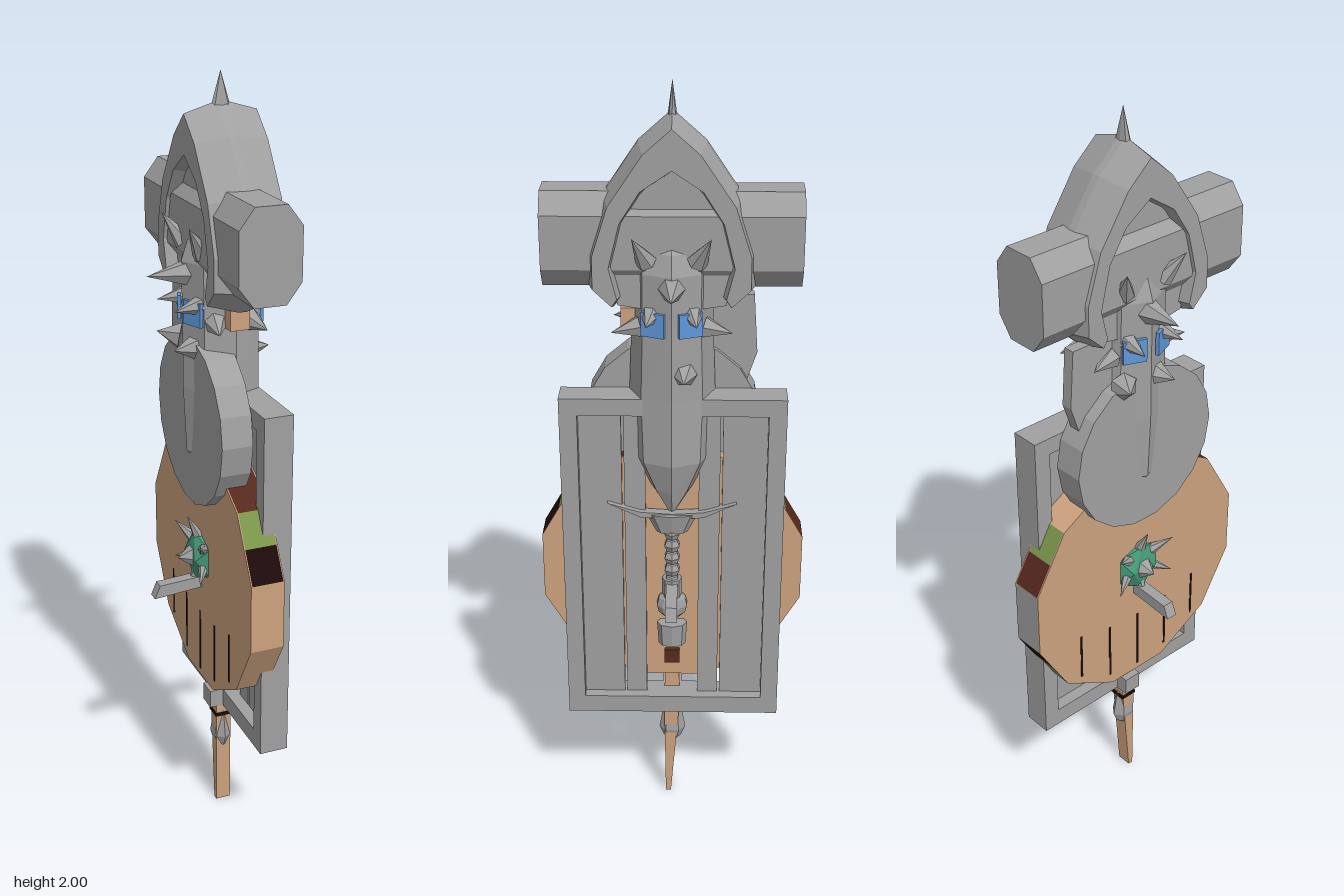
import * as THREE from 'three';

const mat = (name, color) => {
  const m = new THREE.MeshStandardMaterial({ color, flatShading: true });
  m.name = name;
  return m;
};

export function createModel() {
  const root = new THREE.Group();
  const steel = mat('steel', 0xa0a0a0), wood = mat('wood', 0xcda27e), red = mat('red brown', 0x55291c),
    black = mat('near black', 0x1e0b0b), green = mat('green', 0x7b964a), blue = mat('blue', 0x5f98dc),
    teal = mat('teal', 0x459a78);

  const add = (name, geo, m, x = 0, y = 0, z = 0, parent = root) => {
    const mesh = new THREE.Mesh(geo, m);
    mesh.name = name;
    mesh.position.set(x, y, z);
    parent.add(mesh);
    return mesh;
  };
  // box given by its min and max on each axis
  const box = (name, m, x0, x1, y0, y1, z0, z1) =>
    add(name, new THREE.BoxGeometry(x1 - x0, y1 - y0, z1 - z0), m, (x0 + x1) / 2, (y0 + y1) / 2, (z0 + z1) / 2);
  // outline in (z, y), extruded along x from x0 to x1
  const slab = (pts, x0, x1, hole) => {
    const s = new THREE.Shape(pts.map(p => new THREE.Vector2(...p)));
    if (hole) s.holes.push(new THREE.Path(hole.map(p => new THREE.Vector2(...p))));
    return new THREE.ExtrudeGeometry(s, { depth: x1 - x0, bevelEnabled: false }).rotateY(-Math.PI / 2).translate(x1, 0, 0);
  };
  const rect = (z0, z1, y0, y1) => [[z0, y0], [z1, y0], [z1, y1], [z0, y1]];
  const up = new THREE.Vector3(0, 1, 0);
  const spike = (name, p, dir, len, r, m = steel) => {
    const d = new THREE.Vector3(...dir).normalize();
    const c = add(name, new THREE.ConeGeometry(r, len, 6).translate(0, len / 2, 0), m, ...p);
    c.quaternion.setFromUnitVectors(up, d);
    return c;
  };
  const mirror = half => [...half, ...half.filter(p => p[0] > 0).reverse().map(([z, y]) => [-z, y])];

  // hammer head: long octagonal bar along z
  const oct = [[-0.045, 1.52], [0.035, 1.52], [0.073, 1.57], [0.073, 1.7], [0.035, 1.75], [-0.045, 1.75], [-0.083, 1.7], [-0.083, 1.57]];
  add('hammerHead', new THREE.ExtrudeGeometry(new THREE.Shape(oct.map(p => new THREE.Vector2(...p))),
    { depth: 0.62, bevelEnabled: false }), steel, 0, 0, -0.31);

  // arched collar around the hammer, ridged along its middle
  const outer = [[0.14, 1.46], [0.205, 1.52], [0.205, 1.61], [0.165, 1.735], [0.08, 1.86], [0, 1.93]];
  const inner = [[0, 1.79], [0.06, 1.75], [0.105, 1.68], [0.13, 1.58], [0.11, 1.5]];
  const flip = a => a.filter(p => p[0] > 0).map(([z, y]) => [-z, y]).reverse();
  const archPts = [...outer, ...flip(outer), ...flip(inner), ...inner];
  const arch = new THREE.ExtrudeGeometry(new THREE.Shape(archPts.map(p => new THREE.Vector2(...p))),
    { depth: 0.02, bevelThickness: 0.082, bevelSize: 0.018, bevelOffset: -0.018, bevelSegments: 1 });
  add('archCollar', arch.translate(0, 0, -0.01).rotateY(-Math.PI / 2), steel);
  add('archCore', slab(mirror([[0, 1.46], [0.13, 1.48], [0.15, 1.6], [0.11, 1.71], [0, 1.83]]), -0.062, 0.062), steel);
  add('topSpike', new THREE.ConeGeometry(0.03, 0.1, 8), steel, 0, 1.95, 0).scale.z = 0.45;

  // spiked club: eight-sided loft of [y, half depth z, half width x, centre x]
  const rings = [[0.93, 0.012, 0.03, 0.045], [0.99, 0.055, 0.06, 0.03], [1.07, 0.1, 0.1, 0.008], [1.24, 0.107, 0.1, 0],
    [1.42, 0.1, 0.1, 0], [1.56, 0.1, 0.102, 0], [1.61, 0.085, 0.085, 0], [1.64, 0.045, 0.05, 0]];
  const club = new THREE.CylinderGeometry(1, 1, 1, 8, rings.length - 1);
  const cp = club.attributes.position;
  for (let i = 0; i < cp.count; i++) {
    const k = Math.round((cp.getY(i) + 0.5) * (rings.length - 1));
    const [y, rz, rx, cx] = rings[k];
    cp.setXYZ(i, cp.getX(i) * rx + cx, y, cp.getZ(i) * rz);
  }
  add('spikedClub', club, steel);
  for (const s of [-1, 1]) {
    spike('sideSpike', [s * 0.08, 1.53, 0], [s, 0, 0], 0.11, 0.035);
    for (const t of [-1, 1]) {
      spike('upperSpike', [s * 0.07, 1.59, t * 0.06], [s * 0.5, 0.75, t * 0.35], 0.09, 0.026);
      spike('lowerSpike', [s * 0.075, 1.46, t * 0.05], [s, -0.1, t * 0.15], 0.07, 0.024);
      spike('edgeSpike', [s * 0.045, 1.42, t * 0.08], [s * 0.25, -0.15, t], 0.07, 0.028);
      // blue inlays and wooden wedges beside the spikes
      const inlay = add('blueInlay', new THREE.BoxGeometry(0.009, 0.06, 0.06), blue, s * 0.09, 1.44, t * 0.045);
      inlay.rotation.y = -s * t * 0.39;
    }
  }
  spike('bumpSpike', [0.08, 1.31, -0.03], [1, 0, 0], 0.065, 0.032);
  spike('bumpSpike', [-0.08, 1.35, 0.03], [-1, 0, 0.2], 0.06, 0.032);
  spike('bumpSpike', [-0.08, 1.35, -0.07], [-1, 0.2, -0.5], 0.06, 0.035);
  box('woodWedge', wood, -0.025, 0.025, 1.41, 1.46, 0.09, 0.125);

  // round steel buckler and the plate above it
  add('buckler', new THREE.CylinderGeometry(0.22, 0.22, 0.08, 18).rotateZ(Math.PI / 2), steel, -0.045, 1.15, 0);
  add('bladePlate', slab([[-0.08, 1.2], [-0.18, 1.24], [-0.21, 1.33], [-0.2, 1.48], [-0.08, 1.48]], -0.05, -0.02), steel);

  // round wooden shield: twelve sides, each half edge with its own rim colour
  const cy = 0.745, R = 0.35, inR = R * Math.cos(Math.PI / 12);
  const point = i => {
    const a = i * Math.PI / 12, r = i % 2 ? R : inR;
    return [r * Math.cos(a), cy + r * Math.sin(a)];
  };
  const rim = 'tkgrrtttt' + 'grsskg' + 'ttttttttt';
  const rimMat = { t: wood, k: black, g: green, r: red, s: steel };
  for (let i = 0; i < 24; i++) {
    add('roundShieldSegment', slab([[0, cy], point(i), point(i + 1)], -0.055, 0.027), rimMat[rim[i]]);
  }
  const facePts = Array.from({ length: 12 }, (_, i) => point(2 * i + 1));
  add('roundShieldFace', slab(facePts, -0.058, -0.055), wood);
  add('roundShieldBack', slab(facePts, 0.027, 0.03), wood);
  for (const z of [-0.2, -0.1, 0, 0.1, 0.2]) {
    const h = Math.sqrt(0.32 ** 2 - z * z);
    box('plankSeam', black, -0.0595, -0.057, cy - h, cy - h * 0.45, z - 0.003, z + 0.003);
  }
  // shield boss
  const boss = add('shieldBoss', new THREE.IcosahedronGeometry(0.075, 0), teal, -0.055, 0.77, 0);
  boss.scale.x = 0.5;
  for (let i = 0; i < 6; i++) {
    const a = i * Math.PI / 3 + 0.5;
    spike('bossClaw', [-0.06, 0.78 + 0.04 * Math.sin(a), 0.04 * Math.cos(a)], [-0.5, Math.sin(a), Math.cos(a)], 0.075, 0.017);
  }
  spike('bossSpike', [-0.08, 0.77, 0], [-1, 0, 0], 0.04, 0.03);

  // rectangular shield: frame with spaced planks
  add('shieldFrame', slab(rect(-0.285, 0.28, 0.31, 1.24), -0.003, 0.073, rect(-0.24, 0.235, 0.36, 1.195)), steel);
  for (const [a, b] of [[0.128, 0.24], [0.068, 0.122]]) {
    for (const s of [-1, 1]) box('shieldPlank', steel, 0.03, 0.045, 0.35, 1.2, Math.min(s * a, s * b), Math.max(s * a, s * b));
  }
  box('plankMark', red, 0.03, 0.042, 0.45, 0.49, -0.02, 0.02);

  // dagger in front of the planks
  const hx = 0.045;
  add('daggerCollar', new THREE.CylinderGeometry(0.068, 0.04, 0.055, 8), steel, hx, 0.885, 0).scale.x = 0.42;
  for (const s of [-1, 1]) {
    const wing = new THREE.Mesh(slab([[0, 0.9], [0.08, 0.905], [0.165, 0.945], [0.08, 0.92], [0, 0.915]], 0.035, 0.06), steel);
    wing.name = 'daggerWing';
    wing.rotation.y = s < 0 ? Math.PI : 0;
    wing.position.x = s < 0 ? 0.095 : 0;
    root.add(wing);
  }
  for (let i = 0; i < 5; i++) add('gripTwist', new THREE.SphereGeometry(0.022, 6, 4), steel, hx, 0.71 + i * 0.036, 0);
  add('pommelBall', new THREE.SphereGeometry(0.042, 10, 6), steel, hx, 0.64, 0).scale.x = 0.8;
  add('pommelNeck', new THREE.CylinderGeometry(0.026, 0.026, 0.07, 8), steel, hx, 0.685, 0);
  add('pommelEnd', new THREE.CylinderGeometry(0.04, 0.036, 0.065, 8), steel, hx, 0.55, 0).scale.x = 0.7;

  // crossbar running through both shields
  const bar = new THREE.Shape([[-0.19, 0.67], [0, 0.685], [0.19, 0.67], [0.175, 0.705], [0, 0.715], [-0.175, 0.705]]
    .map(p => new THREE.Vector2(...p)));
  add('crossBar', new THREE.ExtrudeGeometry(bar, { depth: 0.03, bevelEnabled: false }), steel, 0, 0, -0.015);

  // wooden shaft tapering to the ground, with its steel collar
  add('shaft', slab([[0.004, 0], [0.018, 0], [0.022, 0.3], [0.018, 0.5], [-0.018, 0.5], [-0.02, 0.3]], -0.02, 0.021), wood);
  add('shaftCollar', new THREE.CylinderGeometry(0.022, 0.036, 0.08, 6), steel, 0, 0.25, 0).scale.x = 0.75;
  add('shaftCollarLower', new THREE.CylinderGeometry(0.036, 0.024, 0.03, 6), steel, 0, 0.195, 0).scale.x = 0.75;
  box('shaftBand', black, -0.023, 0.023, 0.275, 0.285, -0.023, 0.024);
  box('shaftBracket', steel, -0.04, 0.01, 0.31, 0.36, -0.025, 0.025);
  return root;
}
